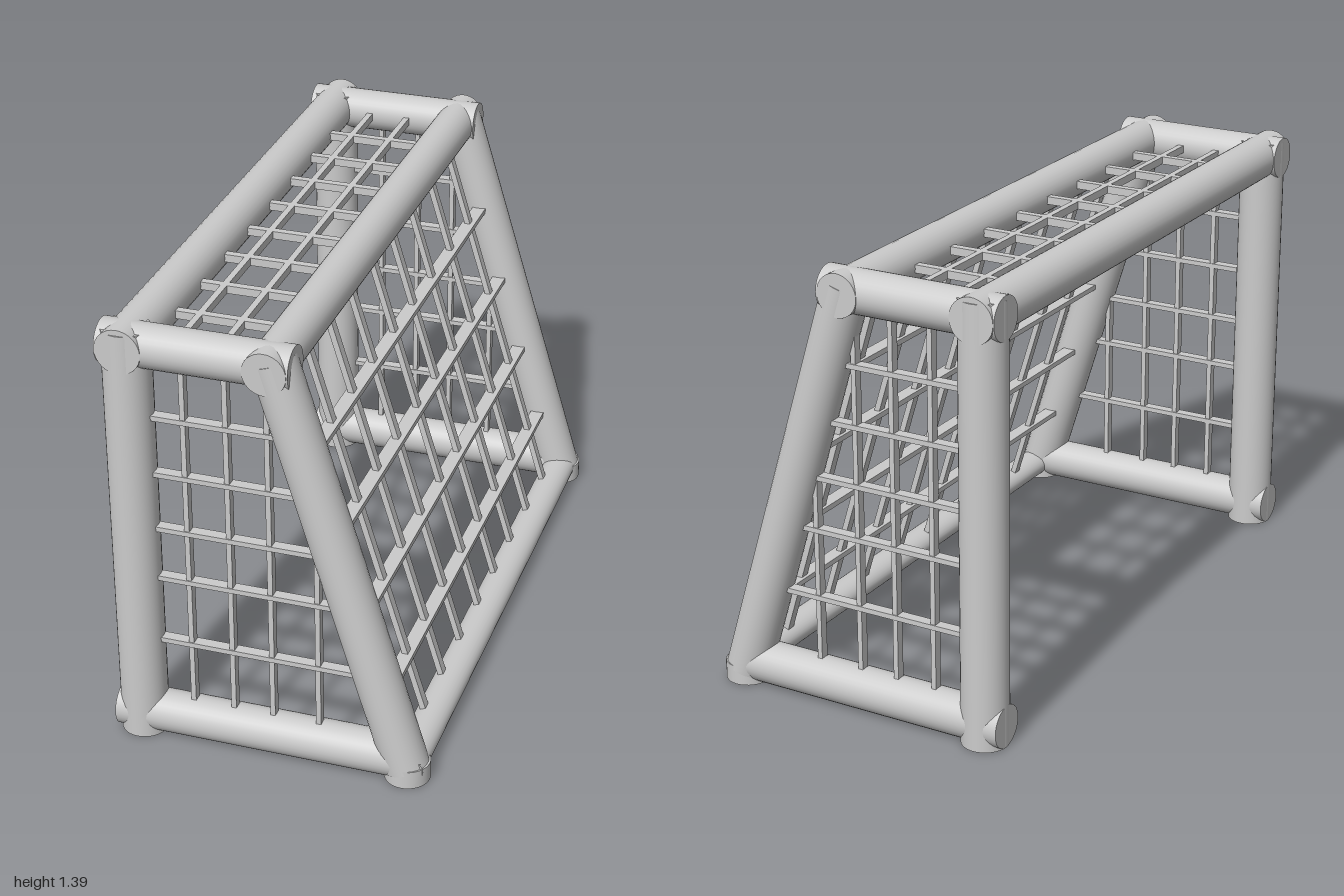
import * as THREE from 'three';

const UP = new THREE.Vector3(0, 1, 0);
const material = new THREE.MeshStandardMaterial({ color: 0xcccccc });

export function createModel() {
  const goal = new THREE.Group();
  goal.name = 'goal';

  // Round tube between two points
  function tube(name, a, b, r) {
    const start = new THREE.Vector3(...a), end = new THREE.Vector3(...b);
    const dir = end.clone().sub(start);
    const mesh = new THREE.Mesh(new THREE.CylinderGeometry(r, r, dir.length(), 32), material);
    mesh.position.copy(start).add(end).multiplyScalar(0.5);
    mesh.quaternion.setFromUnitVectors(UP, dir.normalize());
    mesh.name = name;
    goal.add(mesh);
    return mesh;
  }

  // Flat net bar, given by its size and centre
  function slat(name, size, centre, tilt = 0) {
    const mesh = new THREE.Mesh(new THREE.BoxGeometry(...size), material);
    mesh.position.set(...centre);
    mesh.rotation.z = tilt;
    mesh.name = name;
    goal.add(mesh);
  }

  // Centre line of the sloping back: x at a given height
  const slopeX = (y) => 0.428 - 0.305 * y;
  const tilt = Math.atan(0.305);
  const postX = -0.422, topY = 1.323, sideZ = 0.93;

  // Frame and net of both ends
  for (const s of [-1, 1]) {
    const z = s * sideZ;
    tube('frontPost', [postX, 0, z], [postX, 1.375, z], 0.073);
    tube('slopingPost', [slopeX(0.04), 0.04, z], [slopeX(1.345), 1.345, z], 0.071);
    tube('backFoot', [0.42, 0, z], [0.42, 0.06, z], 0.07);
    tube('bottomSideBar', [-0.494, 0.067, z], [0.43, 0.067, z], 0.067);
    tube('topSideBar', [-0.494, topY, z], [0.085, topY, z], 0.067);

    for (const x of [-0.255, -0.125, 0, 0.145]) {
      const top = Math.min(1.3, (0.39 - x) / 0.305);
      slat('sideNetUpright', [0.016, top - 0.1, 0.028], [x, (top + 0.1) / 2, z]);
    }
    for (const y of [0.335, 0.555, 0.725, 0.91, 1.097]) {
      const end = slopeX(y) - 0.03;
      slat('sideNetSlat', [end + 0.38, 0.016, 0.035], [(end - 0.38) / 2, y, z]);
    }
  }

  // Long bars joining the ends
  tube('frontCrossbar', [postX, topY, -0.998], [postX, topY, 0.998], 0.07);
  tube('backCrossbar', [0.015, topY, -0.998], [0.015, topY, 0.998], 0.066);
  const groundBar = tube('backGroundBar', [0.425, 0.05, -0.97], [0.425, 0.05, 0.97], 0.042);
  groundBar.scale.x = 1.3;

  // Net over the sloping back
  const rise = 1.22;
  for (const z of [-0.74, -0.52, -0.305, -0.1, 0.1, 0.31, 0.51, 0.7]) {
    slat('backNetUpright', [0.018, rise / Math.cos(tilt), 0.03],
      [slopeX(0.69), 0.69, z], tilt);
  }
  for (const y of [0.27, 0.52, 0.777, 1.03]) {
    slat('backNetSlat', [0.045, 0.017, 1.74], [slopeX(y), y, 0]);
  }

  // Net over the roof
  for (const x of [-0.28, -0.15]) {
    slat('roofNetLongSlat', [0.02, 0.025, 1.74], [x, topY, 0]);
  }
  for (let i = 0; i < 8; i++) {
    slat('roofNetCrossSlat', [0.33, 0.025, 0.025], [-0.2, topY, -0.67 + i * 0.198]);
  }

  return goal;
}
